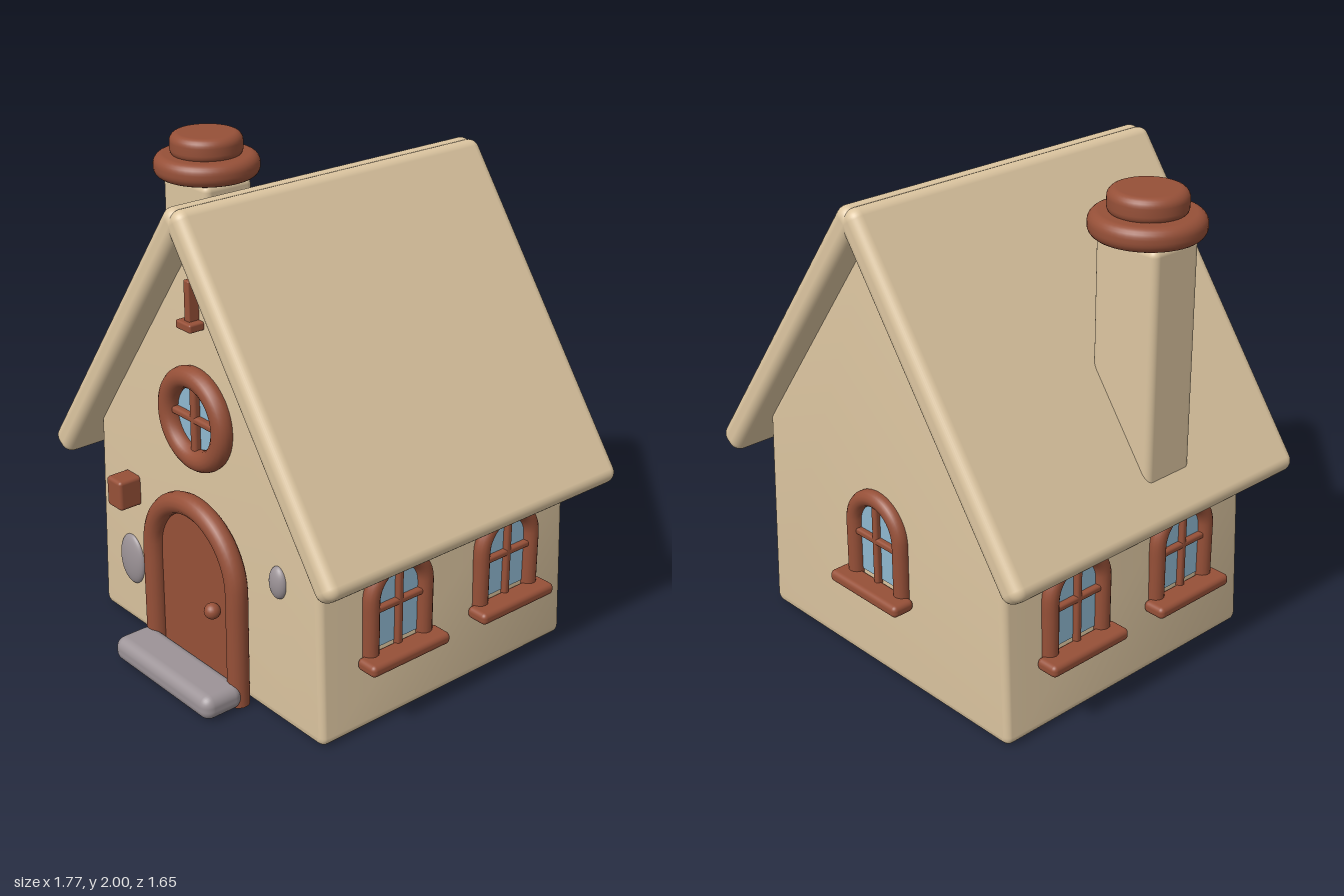
import * as THREE from 'three';
import { RoundedBoxGeometry } from 'three/addons/geometries/RoundedBoxGeometry.js';
import { toCreasedNormals } from 'three/addons/utils/BufferGeometryUtils.js';

const material = (name, color) => {
  const m = new THREE.MeshStandardMaterial({ color });
  m.name = name;
  return m;
};

export function createModel() {
  const cream = material('cream plaster', 0xdcc5a0);
  const brown = material('red brown wood', 0x965038);
  const grey = material('grey stone', 0x9c9397);
  const blue = material('blue glass', 0x8fb8d0);

  const house = new THREE.Group();
  house.name = 'cottage';

  const add = (parent, name, geometry, mat, x = 0, y = 0, z = 0) => {
    const mesh = new THREE.Mesh(geometry, mat);
    mesh.name = name;
    mesh.position.set(x, y, z);
    parent.add(mesh);
    return mesh;
  };
  const block = (w, h, d, r) => new RoundedBoxGeometry(w, h, d, 4, r);

  // Shape of an upright with a half-round top
  const archShape = (r, bottom, springY) => {
    const s = new THREE.Shape();
    s.moveTo(-r, bottom);
    s.lineTo(r, bottom);
    s.lineTo(r, springY);
    s.absarc(0, springY, r, 0, Math.PI, false);
    s.closePath();
    return s;
  };

  // Round moulding that runs up, over the arch and down again
  const addArchFrame = (parent, name, r, bottom, springY, tube, z) => {
    const pts = [];
    for (let i = 0; i < 4; i++) pts.push(new THREE.Vector3(r, bottom + (springY - bottom) * i / 4, 0));
    for (let i = 0; i <= 16; i++) {
      const a = Math.PI * i / 16;
      pts.push(new THREE.Vector3(r * Math.cos(a), springY + r * Math.sin(a), 0));
    }
    for (let i = 3; i >= 0; i--) pts.push(new THREE.Vector3(-r, bottom + (springY - bottom) * i / 4, 0));
    add(parent, name, new THREE.TubeGeometry(new THREE.CatmullRomCurve3(pts), 72, tube, 14), brown, 0, 0, z);
    for (const s of [-1, 1]) {
      add(parent, name + 'Foot', new THREE.CircleGeometry(tube, 14), brown, s * r, bottom, z).rotation.x = Math.PI / 2;
    }
  };

  // Walls: gabled outline with softened corners, extruded with a round bevel
  const bevel = 0.03;
  const corners = [[-0.695, 0.03], [0.695, 0.03], [0.66, 0.88], [0, 1.825], [-0.66, 0.88]]
    .map(([x, y]) => new THREE.Vector2(x, y));
  const outline = new THREE.Shape();
  corners.forEach((p, i) => {
    const prev = corners[(i + 4) % 5], next = corners[(i + 1) % 5];
    const a = p.clone().add(prev.clone().sub(p).setLength(0.012));
    const b = p.clone().add(next.clone().sub(p).setLength(0.012));
    if (i === 0) outline.moveTo(a.x, a.y); else outline.lineTo(a.x, a.y);
    outline.quadraticCurveTo(p.x, p.y, b.x, b.y);
  });
  outline.closePath();
  const walls = new THREE.ExtrudeGeometry(outline, {
    depth: 1.3 - 2 * bevel, bevelSize: bevel, bevelThickness: bevel, bevelSegments: 5, curveSegments: 5,
  });
  add(house, 'walls', toCreasedNormals(walls, 0.6), cream, 0, 0, -0.71 + bevel);

  // Two roof slabs meeting at the ridge
  for (const s of [-1, 1]) {
    const slab = add(house, s > 0 ? 'roofLeft' : 'roofRight', block(1.495, 0.115, 1.52, 0.045), cream, s * 0.42, 1.335, -0.06);
    slab.rotation.z = -s * THREE.MathUtils.degToRad(54.5);
  }

  // Chimney stack with a two-tier round cap
  const chimney = new THREE.Group();
  chimney.name = 'chimney';
  chimney.position.set(-0.645, 0, 0.045);
  house.add(chimney);
  add(chimney, 'chimneyStack', block(0.3, 1.04, 0.24, 0.03), cream, 0, 1.305, 0);
  const roundedDisc = (r, h, e) => {
    const pts = [new THREE.Vector2(0, 0)];
    for (let i = 0; i <= 6; i++) {
      const a = -Math.PI / 2 + Math.PI / 2 * i / 6;
      pts.push(new THREE.Vector2(r - e + e * Math.cos(a), e + e * Math.sin(a)));
    }
    for (let i = 0; i <= 6; i++) {
      const a = Math.PI / 2 * i / 6;
      pts.push(new THREE.Vector2(r - e + e * Math.cos(a), h - e + e * Math.sin(a)));
    }
    pts.push(new THREE.Vector2(0, h));
    return new THREE.LatheGeometry(pts, 48);
  };
  add(chimney, 'chimneyRim', roundedDisc(0.218, 0.094, 0.04), brown, 0, 1.82, 0);
  add(chimney, 'chimneyPot', roundedDisc(0.15, 0.1, 0.035), brown, 0, 1.9, 0);

  // Front door, surround, knob and step
  const door = new THREE.Group();
  door.name = 'door';
  house.add(door);
  const panel = new THREE.ExtrudeGeometry(archShape(0.25, 0.01, 0.49), { depth: 0.05, bevelEnabled: false, curveSegments: 24 });
  add(door, 'doorPanel', toCreasedNormals(panel, 0.6), brown, 0, 0, 0.58);
  addArchFrame(door, 'doorSurround', 0.268, 0.003, 0.49, 0.045, 0.637);
  add(door, 'doorKnob', new THREE.SphereGeometry(0.033, 20, 14), brown, 0.138, 0.365, 0.658);
  add(house, 'doorStep', block(0.63, 0.106, 0.19, 0.045), grey, 0, 0.054, 0.735);

  // Arched windows with sill, frame, glass and glazing bars
  const addWindow = (name, x, y, z, turn) => {
    const w = new THREE.Group();
    w.name = name;
    w.position.set(x, y, z);
    w.rotation.y = turn;
    house.add(w);
    add(w, 'sill', block(0.4, 0.05, 0.1, 0.02), brown, 0, 0, 0.047);
    addArchFrame(w, 'frame', 0.137, 0, 0.245, 0.034, 0.006);
    add(w, 'glass', new THREE.ShapeGeometry(archShape(0.13, 0.035, 0.245), 20), blue, 0, 0, 0.002);
    add(w, 'uprightBar', block(0.028, 0.36, 0.03, 0.01), brown, 0, 0.19, 0.01);
    add(w, 'crossBar', block(0.25, 0.028, 0.03, 0.01), brown, 0, 0.207, 0.01);
  };
  for (const z of [0.22, -0.36]) {
    addWindow('leftWindow', 0.715, 0.305, z, Math.PI / 2);
    addWindow('rightWindow', -0.715, 0.305, z, -Math.PI / 2);
  }
  addWindow('backWindow', 0, 0.39, -0.715, Math.PI);

  // Round gable window
  const round = new THREE.Group();
  round.name = 'roundWindow';
  round.position.set(0, 1.12, 0.61);
  house.add(round);
  add(round, 'roundFrame', new THREE.TorusGeometry(0.167, 0.044, 16, 56), brown);
  add(round, 'roundGlass', new THREE.CircleGeometry(0.15, 40), blue, 0, 0, -0.012);
  add(round, 'roundUprightBar', block(0.034, 0.3, 0.034, 0.012), brown);
  add(round, 'roundCrossBar', block(0.3, 0.03, 0.034, 0.012), brown);

  // Gable peg, letter box and wall stones
  add(house, 'gablePeg', block(0.032, 0.18, 0.05, 0.006), brown, 0, 1.59, 0.61);
  add(house, 'gablePegFoot', block(0.09, 0.034, 0.07, 0.008), brown, 0, 1.505, 0.62);
  add(house, 'letterBox', block(0.098, 0.13, 0.11, 0.015), brown, -0.468, 0.648, 0.635);
  const stones = [[-0.495, 0.305, 0.08, 0.113], [0.465, 0.61, 0.045, 0.068]];
  for (const [x, y, rx, ry] of stones) {
    add(house, 'wallStone', new THREE.SphereGeometry(1, 28, 18), grey, x, y, 0.59).scale.set(rx, ry, 0.03);
  }

  return house;
}
